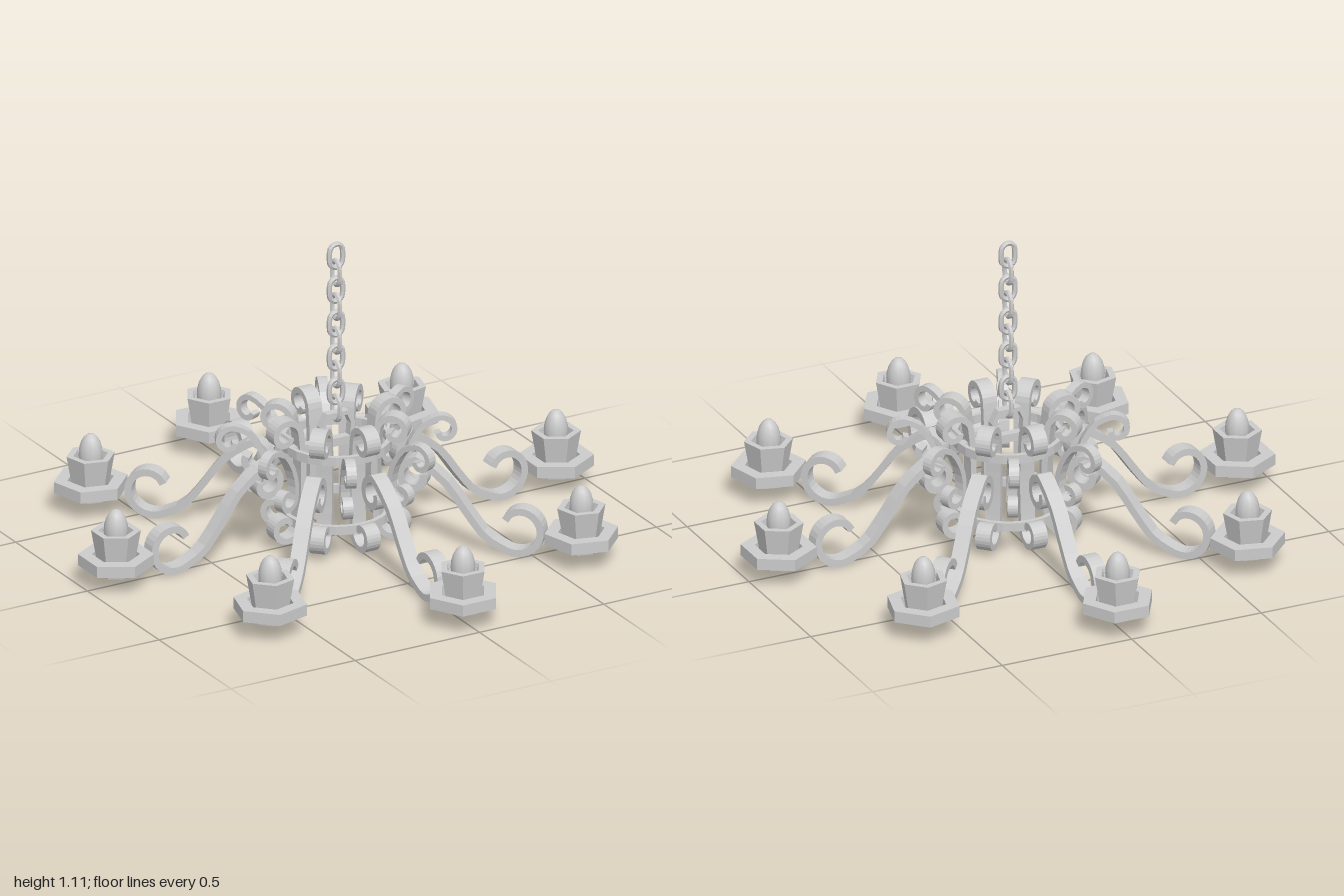
import * as THREE from 'three';

const iron = new THREE.MeshStandardMaterial({ color: 0xcccccc, flatShading: true, side: THREE.DoubleSide });
const smooth = new THREE.MeshStandardMaterial({ color: 0xcccccc });
const V = (x, y) => new THREE.Vector2(x, y);

function mesh(name, geometry, material = iron) {
  const m = new THREE.Mesh(geometry, material);
  m.name = name;
  return m;
}

// Points along a spiral, angles in degrees
function spiral(cx, cy, r0, r1, a0, a1) {
  const n = Math.ceil(Math.abs(a1 - a0) / 30), pts = [];
  for (let i = 0; i <= n; i++) {
    const t = i / n, a = THREE.MathUtils.degToRad(a0 + (a1 - a0) * t), r = r0 + (r1 - r0) * t;
    pts.push(V(cx + r * Math.cos(a), cy + r * Math.sin(a)));
  }
  return pts;
}

// Flat bar bent along a path in the radius/height plane
function ribbon(path, thickness, width) {
  const left = [], right = [];
  path.forEach((p, i) => {
    const a = path[Math.max(i - 1, 0)], b = path[Math.min(i + 1, path.length - 1)];
    const d = b.clone().sub(a).normalize().multiplyScalar(thickness / 2);
    left.push(V(p.x - d.y, p.y + d.x));
    right.push(V(p.x + d.y, p.y - d.x));
  });
  const shape = new THREE.Shape([...right, ...left.reverse()]);
  return new THREE.ExtrudeGeometry(shape, { depth: width, bevelEnabled: false }).translate(0, 0, -width / 2);
}

const smoothPath = (pts, n) => new THREE.SplineCurve(pts).getPoints(n);

// Closed band with a rectangular section
const band = (rIn, rOut, y0, y1, sides) => new THREE.LatheGeometry(
  [V(rIn, y0), V(rOut, y0), V(rOut, y1), V(rIn, y1), V(rIn, y0)], sides);

export function createModel() {
  const model = new THREE.Group();
  model.name = 'chandelier';

  // Shared shapes
  const armGeo = ribbon(smoothPath([
    ...spiral(0.29, 0.27, 0.03, 0.062, 380, 75),
    V(0.4, 0.26), V(0.47, 0.165), V(0.54, 0.075),
    ...spiral(0.665, 0.115, 0.098, 0.055, 235, 510)], 54), 0.026, 0.055);
  const frameGeo = ribbon(smoothPath([
    ...spiral(0.215, 0.432, 0.022, 0.06, 200, 540),
    V(0.147, 0.34), V(0.145, 0.26), V(0.147, 0.18),
    ...spiral(0.215, 0.088, 0.06, 0.022, 180, 520)], 56), 0.022, 0.055);
  const scrollGeo = ribbon(smoothPath([
    ...spiral(0.375, 0.388, 0.02, 0.052, 200, 470),
    V(0.305, 0.412), V(0.262, 0.345), V(0.245, 0.28),
    ...spiral(0.292, 0.242, 0.045, 0.02, 195, 480)], 44), 0.02, 0.036);
  const plateGeo = band(0.084, 0.133, 0.083, 0.125, 6);
  const cupGeo = new THREE.LatheGeometry([V(0, 0.05), V(0.058, 0.05), V(0.087, 0.215),
    V(0.062, 0.215), V(0.054, 0.17), V(0, 0.17)], 6);
  const bulbGeo = new THREE.SphereGeometry(0.043, 12, 10).scale(1, 1.86, 1).translate(0, 0.215, 0);

  // Eight arms with lamps, frame scrolls, and small scrolls between them
  for (let k = 0; k < 8; k++) {
    const sector = new THREE.Group();
    sector.name = 'sector';
    sector.rotation.y = k * Math.PI / 4;

    const lamp = new THREE.Group();
    lamp.name = 'lamp';
    lamp.position.x = 0.885;
    lamp.add(mesh('dripPlate', plateGeo), mesh('lampCup', cupGeo), mesh('bulb', bulbGeo, smooth));

    const small = mesh('smallScroll', scrollGeo);
    small.rotation.y = Math.PI / 8;
    sector.add(mesh('arm', armGeo), mesh('frameScroll', frameGeo), small, lamp);
    model.add(sector);
  }

  // Hoops, crossbar and hanging shackle
  model.add(mesh('upperHoop', band(0.178, 0.195, 0.35, 0.383, 24)));
  model.add(mesh('lowerHoop', band(0.178, 0.195, 0.09, 0.122, 24)));
  const bar = mesh('crossbar', new THREE.BoxGeometry(0.37, 0.03, 0.03));
  bar.position.y = 0.366;
  model.add(bar);
  model.add(mesh('shackle', ribbon([V(-0.055, 0.37), V(-0.06, 0.43), V(-0.04, 0.47),
    V(0.04, 0.47), V(0.06, 0.43), V(0.055, 0.37)], 0.017, 0.032)));

  // Chain of alternating oval links
  const linkPts = [...spiral(0, 0.018, 0.026, 0.026, 0, 180), ...spiral(0, -0.018, 0.026, 0.026, 180, 360)]
    .map(p => new THREE.Vector3(p.x, p.y, 0));
  const linkGeo = new THREE.TubeGeometry(new THREE.CatmullRomCurve3(linkPts, true), 24, 0.0095, 6, true);
  const chain = new THREE.Group();
  chain.name = 'chain';
  for (let i = 0; i < 10; i++) {
    const link = mesh('chainLink', linkGeo);
    link.position.y = 1.066 - i * 0.064;
    link.rotation.y = (i % 2) * Math.PI / 2;
    chain.add(link);
  }
  model.add(chain);
  return model;
}
